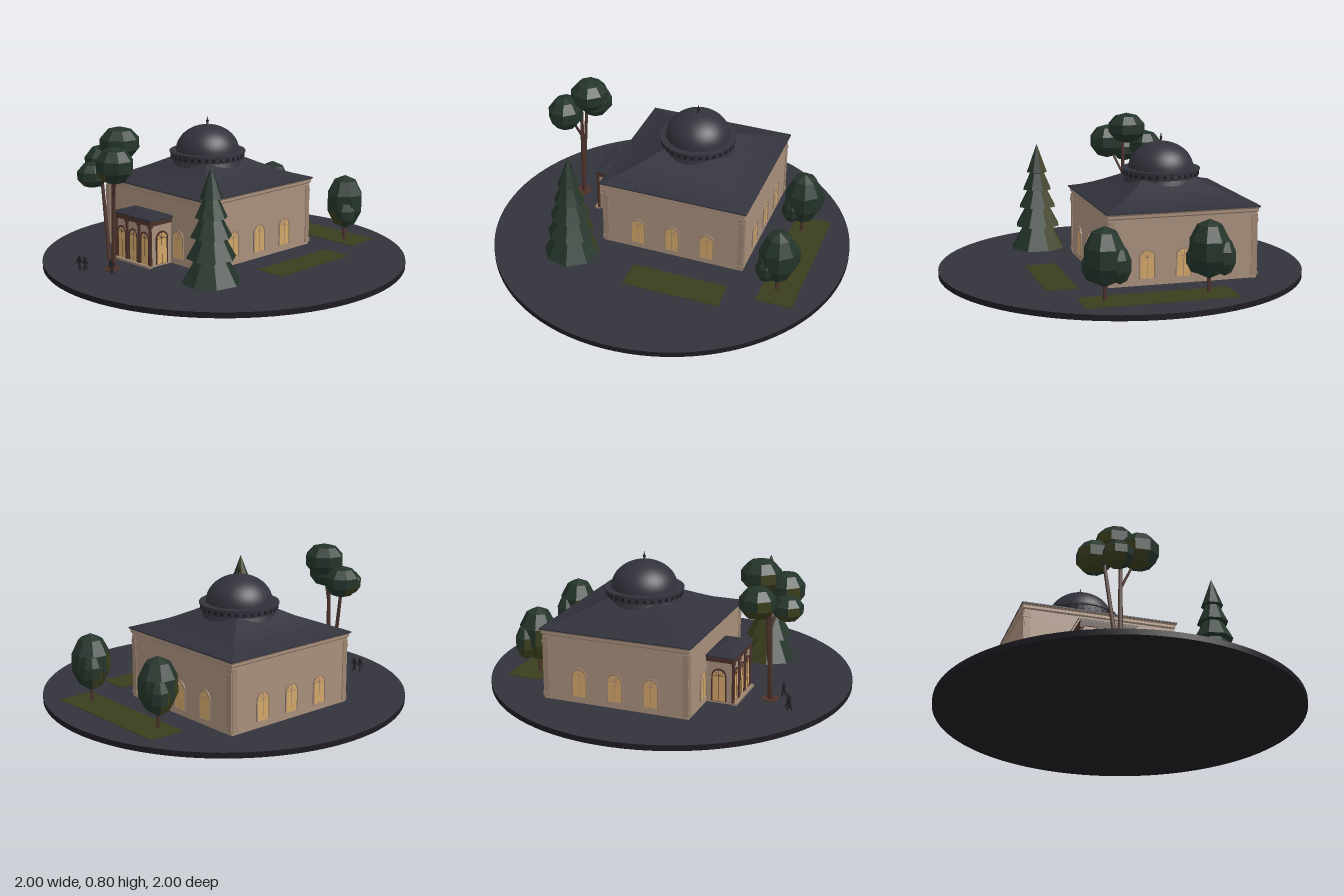
import * as THREE from 'three';

const mat = (name, color) => {
  const m = new THREE.MeshStandardMaterial({ color });
  m.name = name;
  return m;
};
const M = {
  slate: mat('slate', 0x32323c), dark: mat('dark edge', 0x1e1c22), wall: mat('tan wall', 0xa88f7c),
  trim: mat('wall trim', 0x9c8470), glow: mat('lit window', 0xd2a668), brown: mat('brown wood', 0x4c322b),
  leaf: mat('dark leaves', 0x24342a), olive: mat('olive leaves', 0x3b3d1d), figure: mat('figure', 0x1f2024),
};
const GROUND = 0.03, CX = -0.21, CZ = -0.075;

function add(parent, name, geo, material, x = 0, y = 0, z = 0) {
  const m = new THREE.Mesh(geo, material);
  m.name = name;
  m.position.set(x, y, z);
  parent.add(m);
  return m;
}
const box = (p, name, w, h, d, material, x, y, z) => add(p, name, new THREE.BoxGeometry(w, h, d), material, x, y, z);
const lathe = (pts, n) => new THREE.LatheGeometry(pts.map(([r, y]) => new THREE.Vector2(r, y)), n);
const flat = (geo) => {
  const g = geo.index ? geo.toNonIndexed() : geo;
  g.computeVertexNormals();
  return g;
};
// Square-plan solid from a profile of half-widths and heights
const square = (pts) => flat(lathe(pts.map(([h, y]) => [h * Math.SQRT2, y]), 4).rotateY(Math.PI / 4));

function rod(parent, name, a, b, r0, r1, material, sides = 6) {
  const A = new THREE.Vector3(...a), B = new THREE.Vector3(...b), d = B.clone().sub(A);
  const m = add(parent, name, new THREE.CylinderGeometry(r1, r0, d.length(), sides), material);
  m.position.copy(A).add(B).multiplyScalar(0.5);
  m.quaternion.setFromUnitVectors(new THREE.Vector3(0, 1, 0), d.normalize());
  return m;
}

function archShape(w, h) {
  const s = new THREE.Shape(), r = w / 2;
  s.moveTo(-r, 0);
  s.lineTo(r, 0);
  s.lineTo(r, h - r);
  s.absarc(0, h - r, r, 0, Math.PI, false);
  s.closePath();
  return s;
}
// Arched lit window with a frame and fan-shaped glazing bars, facing +z
function archWindow(w, h, frameMat) {
  const g = new THREE.Group();
  g.name = 'archedWindow';
  const frame = archShape(w + 0.012, h + 0.006);
  frame.holes.push(archShape(w, h - 0.003));
  add(g, 'windowFrame', new THREE.ExtrudeGeometry(frame, { depth: 0.007, bevelEnabled: false, curveSegments: 8 }), frameMat);
  add(g, 'windowPane', new THREE.ShapeGeometry(archShape(w, h), 8), M.glow, 0, 0, 0.003);
  const c = h - w / 2, z = 0.004;
  rod(g, 'mullion', [0, 0, z], [0, h, z], 0.0014, 0.0014, frameMat, 4);
  rod(g, 'transom', [-w / 2, c, z], [w / 2, c, z], 0.0014, 0.0014, frameMat, 4);
  for (const s of [-1, 1]) rod(g, 'fanBar', [0, c, z], [s * w * 0.35, c + w * 0.35, z], 0.0012, 0.0012, frameMat, 4);
  return g;
}

// Two-tone faceted foliage: faces turned one way are olive
function foliage(parent, name, geo, x, y, z, dir, limit) {
  const g = flat(geo), p = g.attributes.position, lists = [[], []];
  const t = new THREE.Triangle(), n = new THREE.Vector3(), d = new THREE.Vector3(...dir).normalize();
  for (let i = 0; i < p.count; i += 3) {
    t.setFromAttributeAndIndices(p, i, i + 1, i + 2);
    t.getNormal(n);
    lists[n.dot(d) > limit ? 1 : 0].push(i, i + 1, i + 2);
  }
  g.setIndex([...lists[0], ...lists[1]]);
  g.addGroup(0, lists[0].length, 0);
  g.addGroup(lists[0].length, lists[1].length, 1);
  return add(parent, name, g, [M.leaf, M.olive], x, y, z);
}
const blob = (p, x, y, z, rx, ry, rz) =>
  foliage(p, 'canopy', new THREE.SphereGeometry(1, 8, 5).rotateY(0.3).scale(rx, ry, rz), x, y, z, [-0.5, -0.6, 0.5], 0.6);

function building() {
  const g = new THREE.Group();
  g.name = 'hall';
  g.position.set(CX, 0, CZ);
  add(g, 'walls', square([[0.406, GROUND], [0.406, 0.385], [0.413, 0.392], [0.413, 0.405], [0.42, 0.415]]), M.wall);
  add(g, 'roof', square([[0.41, 0.412], [0.421, 0.414], [0.421, 0.42], [0.36, 0.437], [0.3, 0.46], [0.25, 0.483], [0.2, 0.508], [0.14, 0.54]]), M.slate);
  // Four facades: plinth, corner pilasters and windows
  for (let i = 0; i < 4; i++) {
    const f = new THREE.Group();
    f.name = 'facade';
    f.rotation.y = i * Math.PI / 2;
    g.add(f);
    for (const s of [-1, 1]) {
      box(f, 'pilaster', 0.03, 0.32, 0.008, M.trim, s * 0.39, 0.215, 0.406);
      box(f, 'pilasterCap', 0.036, 0.012, 0.012, M.trim, s * 0.39, 0.345, 0.407);
      box(f, 'pilasterBase', 0.036, 0.02, 0.012, M.trim, s * 0.39, 0.055, 0.407);
    }
    for (const x of i === 0 ? [-0.2, 0.2] : [-0.2, 0, 0.2]) {
      const w = archWindow(0.075, 0.15, M.trim);
      w.position.set(x, 0.067, 0.406);
      f.add(w);
    }
  }
  // Drum, gallery ring and dome
  add(g, 'drum', new THREE.CylinderGeometry(0.195, 0.21, 0.05, 40), M.slate, 0, 0.515);
  add(g, 'gallery', flat(lathe([[0.19, 0.53], [0.205, 0.535], [0.205, 0.565], [0.213, 0.568], [0.213, 0.577], [0.17, 0.577]], 40)), M.slate);
  for (let i = 0; i < 32; i++) {
    const a = i * Math.PI / 16;
    box(g, 'galleryOpening', 0.018, 0.018, 0.006, M.dark, Math.sin(a) * 0.205, 0.551, Math.cos(a) * 0.205).rotation.y = a;
  }
  const curve = [];
  for (let i = 0; i <= 14; i++) {
    const a = i / 14 * Math.PI / 2;
    curve.push([Math.max(0.178 * Math.cos(a), 0.0001), 0.575 + 0.145 * Math.sin(a)]);
  }
  add(g, 'dome', lathe(curve, 40), M.slate);
  add(g, 'finial', lathe([[0.014, 0.714], [0.006, 0.725], [0.005, 0.735], [0.009, 0.742], [0.004, 0.749], [0.0001, 0.77]], 10), M.dark);
  return g;
}

function porch() {
  const g = new THREE.Group();
  g.name = 'porch';
  g.position.set(CX, 0, 0.4);
  box(g, 'porchWalls', 0.28, 0.25, 0.15, M.wall, 0, 0.155, 0);
  box(g, 'porchBeam', 0.3, 0.03, 0.165, M.brown, 0, 0.275, 0);
  const roof = square([[0.5, 0], [0.5, 0.08], [0.0001, 0.4]]).scale(0.32, 0.085, 0.17);
  add(g, 'porchRoof', flat(roof), M.slate, 0, 0.288, 0.005);
  box(g, 'porchStep', 0.3, 0.012, 0.03, M.trim, 0, 0.036, 0.085);
  for (const x of [-0.14, -0.05, 0.05, 0.14]) {
    rod(g, 'column', [x, GROUND, 0.078], [x, 0.265, 0.078], 0.009, 0.008, M.brown, 8);
    box(g, 'columnCap', 0.024, 0.012, 0.016, M.brown, x, 0.256, 0.078);
  }
  for (const x of [-0.095, 0, 0.095]) {
    const w = archWindow(0.058, 0.175, M.brown);
    w.position.set(x, 0.042, 0.075);
    g.add(w);
  }
  for (const s of [-1, 1]) {
    const w = archWindow(0.07, 0.175, M.brown);
    w.position.set(s * 0.14, 0.042, 0);
    w.rotation.y = s * Math.PI / 2;
    g.add(w);
  }
  return g;
}

function conifer() {
  const g = new THREE.Group();
  g.name = 'conifer';
  g.position.set(0.37, 0, 0.45);
  rod(g, 'coniferTrunk', [0, GROUND, 0], [0, 0.1, 0], 0.025, 0.025, M.brown);
  // Each tier: bottom radius, bottom height, top radius, top height
  const tiers = [[0.155, 0.05, 0.07, 0.2], [0.13, 0.18, 0.058, 0.31], [0.108, 0.29, 0.045, 0.41], [0.084, 0.39, 0.03, 0.51], [0.06, 0.49, 0.0001, 0.65]];
  for (const [r, y, r1, y1] of tiers)
    foliage(g, 'coniferTier', lathe([[0.0001, y - 0.015], [r, y], [r1, y1]], 8).rotateY(0.2), 0, 0, 0, [-0.8, 0.1, -0.6], 0.72);
  return g;
}

function roundTree(x, z, side) {
  const g = new THREE.Group();
  g.name = 'roundTree';
  g.position.set(x, 0, z);
  rod(g, 'trunk', [0, GROUND, 0], [0, 0.16, 0], 0.011, 0.009, M.brown);
  blob(g, 0, 0.255, 0, 0.11, 0.155, 0.108);
  blob(g, -0.065, 0.22, -0.045, 0.06, 0.1, 0.06);
  blob(g, side * 0.05, 0.195, 0.05, 0.058, 0.08, 0.058);
  return g;
}

function tallTree() {
  const g = new THREE.Group();
  g.name = 'tallTree';
  rod(g, 'trunk', [-0.195, GROUND, 0.63], [-0.19, 0.62, 0.62], 0.014, 0.01, M.brown);
  rod(g, 'leaningTrunk', [-0.21, GROUND, 0.64], [-0.285, 0.58, 0.63], 0.012, 0.009, M.brown);
  rod(g, 'branch', [-0.193, 0.42, 0.625], [-0.12, 0.58, 0.66], 0.008, 0.006, M.brown);
  blob(g, -0.2, 0.705, 0.57, 0.115, 0.09, 0.11);
  blob(g, -0.32, 0.595, 0.59, 0.1, 0.09, 0.1);
  blob(g, -0.11, 0.615, 0.68, 0.108, 0.1, 0.1);
  blob(g, -0.235, 0.555, 0.725, 0.085, 0.07, 0.085);
  add(g, 'treePit', new THREE.CylinderGeometry(0.045, 0.045, 0.006, 16), M.brown, -0.2, 0.032, 0.635);
  return g;
}

function person(x, z, turn) {
  const g = new THREE.Group();
  g.name = 'person';
  g.position.set(x, GROUND, z);
  g.rotation.y = turn;
  for (const s of [-1, 1]) {
    rod(g, 'leg', [s * 0.004, 0, s * 0.012], [s * 0.003, 0.04, 0], 0.004, 0.005, M.figure, 5);
    rod(g, 'arm', [s * 0.009, 0.064, 0], [s * 0.012, 0.036, -s * 0.012], 0.003, 0.003, M.figure, 5);
  }
  rod(g, 'torso', [0, 0.037, 0], [0, 0.067, 0], 0.007, 0.009, M.figure, 6);
  add(g, 'head', new THREE.SphereGeometry(0.007, 6, 5), M.figure, 0, 0.076, 0);
  return g;
}

export function createModel() {
  const model = new THREE.Group();
  model.name = 'hallScene';
  add(model, 'groundDisc', new THREE.CylinderGeometry(1, 1, GROUND, 96), [M.dark, M.slate, M.dark], 0, GROUND / 2, 0);
  box(model, 'backLawn', 0.8, 0.004, 0.2, M.olive, 0, 0.031, -0.72);
  box(model, 'sideLawn', 0.17, 0.004, 0.54, M.olive, 0.435, 0.031, -0.18);
  model.add(building(), porch(), conifer(), tallTree());
  model.add(roundTree(-0.28, -0.68, 1), roundTree(0.275, -0.7, 1));
  model.add(person(-0.31, 0.77, 0.2), person(-0.28, 0.755, -0.3), person(-0.14, 0.69, 0.1));
  return model;
}
